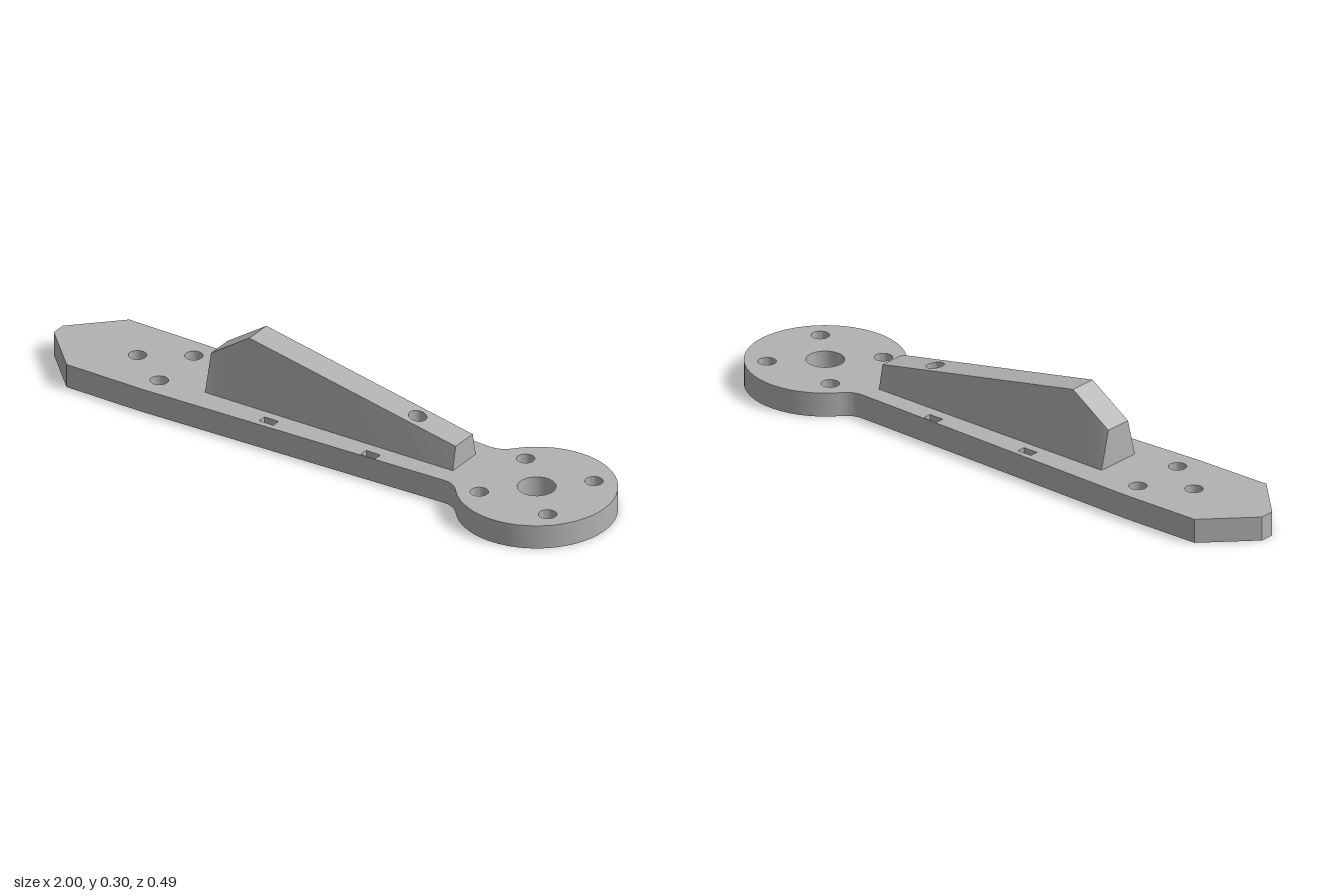
import * as THREE from 'three';
import { toCreasedNormals } from 'three/addons/utils/BufferGeometryUtils.js';

const PLATE_TOP = 0.078;
const BORE_DEPTH = 0.022; // screw head recess on the underside
const HUB_X = 0.75;
const RIB_HOLE_X = 0.315;

function circle(x, z, r) {
  return new THREE.Path().absarc(x, z, r, 0, Math.PI * 2, true);
}

function slot(x, z, w, h) {
  return new THREE.Path([[-1, -1], [-1, 1], [1, 1], [1, -1]]
    .map(([a, b]) => new THREE.Vector2(x + a * w / 2, z + b * h / 2)));
}

// Pointed arm that flows through small fillets into a round motor mount
function plateShape(screwRadius) {
  const s = new THREE.Shape();
  const r = 0.247, a = 2.437;
  const px = HUB_X + r * Math.cos(a), pz = r * Math.sin(a);
  s.moveTo(-1, 0.024);
  s.lineTo(-1, -0.024);
  s.lineTo(-0.855, -0.169);
  s.lineTo(-0.58, -0.169);
  s.lineTo(0.495, -0.126);
  s.quadraticCurveTo(0.535, -0.125, px, -pz);
  s.absarc(HUB_X, 0, r, -a, a, false);
  s.quadraticCurveTo(0.535, 0.125, 0.495, 0.126);
  s.lineTo(-0.58, 0.169);
  s.lineTo(-0.855, 0.169);
  s.closePath();

  s.holes.push(circle(HUB_X, 0, 0.059), circle(-0.71, 0, 0.028), circle(RIB_HOLE_X, 0, 0.028));
  for (const side of [-1, 1]) {
    s.holes.push(circle(-0.567, side * 0.093, 0.028));
    for (const dx of [-0.125, 0.125]) s.holes.push(circle(HUB_X + dx, side * 0.125, screwRadius));
    for (const x of [-0.15, 0.223]) s.holes.push(slot(x, side * 0.118, 0.052, 0.029));
  }
  return s;
}

// Extrude a plan shape upwards from y0 to y1
function extrudeUp(shape, y0, y1) {
  const g = new THREE.ExtrudeGeometry(shape, { depth: y1 - y0, bevelEnabled: false, curveSegments: 20 });
  return g.rotateX(-Math.PI / 2).translate(0, y0, 0);
}

// Tapered rib block between two stations, with its top sloping from h0 to h1
function ribBlock(x0, x1, h0, h1, hole) {
  const TOP_HALF = 0.046, steps = 6, pts = [];
  for (let i = 0; i <= steps; i++) pts.push(new THREE.Vector2(x0 + (x1 - x0) * i / steps, -TOP_HALF));
  for (let i = steps; i >= 0; i--) pts.push(new THREE.Vector2(x0 + (x1 - x0) * i / steps, TOP_HALF));
  const shape = new THREE.Shape(pts);
  if (hole) shape.holes.push(circle(RIB_HOLE_X, 0, 0.028));
  const g = extrudeUp(shape, 0, 1);
  const p = g.attributes.position;
  for (let i = 0; i < p.count; i++) {
    const x = p.getX(i), z = p.getZ(i);
    if (p.getY(i) > 0.5) {
      p.setY(i, h0 + (h1 - h0) * (x - x0) / (x1 - x0));
    } else {
      p.setY(i, PLATE_TOP);
      // spread the foot of the side walls
      const foot = 0.078 - 0.016 * (x + 0.41) / 0.895;
      if (Math.abs(z) > TOP_HALF - 1e-4) p.setZ(i, Math.sign(z) * foot);
    }
  }
  return g;
}

export function createModel() {
  const grey = new THREE.MeshStandardMaterial({ color: 0xb2b2b2 });
  grey.name = 'grey';
  const model = new THREE.Group();
  model.name = 'motorArm';

  const add = (name, geometry) => {
    const mesh = new THREE.Mesh(toCreasedNormals(geometry, 0.4), grey);
    mesh.name = name;
    model.add(mesh);
  };

  // Arm plate in two layers, the lower with wider screw recesses
  add('plateLowerLayer', extrudeUp(plateShape(0.047), 0, BORE_DEPTH));
  add('plateUpperLayer', extrudeUp(plateShape(0.028), BORE_DEPTH, PLATE_TOP));

  // Stiffening rib: short steep nose, then a long falling back
  add('ribNose', ribBlock(-0.41, -0.27, 0.2, 0.295, false));
  add('ribBack', ribBlock(-0.27, 0.485, 0.295, 0.155, true));

  return model;
}
